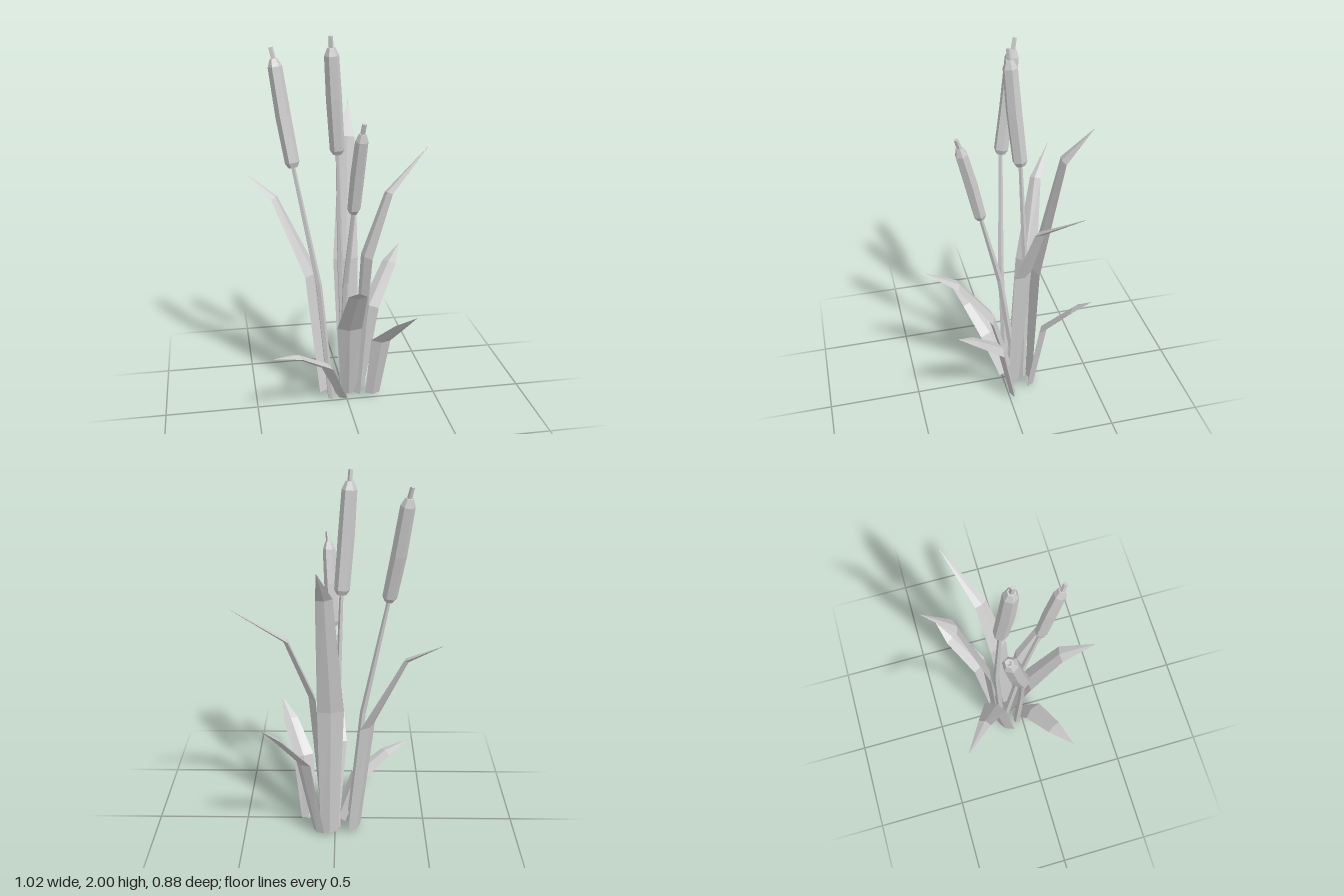
import * as THREE from 'three';

const material = new THREE.MeshStandardMaterial({ color: 0xcccccc, flatShading: true });
const vec = (p) => new THREE.Vector3(...p);

// Lofts elliptical rings along a path. rings: [x, y, z, halfWidth, halfDepth]
function loft(name, rings, sides, widthDir) {
  const points = rings.map(vec);
  const positions = [];
  const index = [];
  rings.forEach(([, , , rw, rd = rw], i) => {
    const before = points[Math.max(i - 1, 0)];
    const after = points[Math.min(i + 1, points.length - 1)];
    const t = after.clone().sub(before).normalize();
    const u = widthDir.clone().addScaledVector(t, -widthDir.dot(t)).normalize();
    const v = t.clone().cross(u);
    for (let j = 0; j < sides; j++) {
      const a = (j / sides) * Math.PI * 2;
      const p = points[i].clone().addScaledVector(u, Math.cos(a) * rw).addScaledVector(v, Math.sin(a) * rd);
      positions.push(p.x, Math.max(p.y, 0), p.z);
    }
  });
  for (let i = 0; i < rings.length - 1; i++) {
    for (let j = 0; j < sides; j++) {
      const k = (j + 1) % sides;
      const a = i * sides + j, b = i * sides + k;
      index.push(a, b, b + sides, a, b + sides, a + sides);
    }
  }
  // End caps
  const top = (rings.length - 1) * sides;
  for (let j = 1; j < sides - 1; j++) {
    index.push(0, j + 1, j, top, top + j, top + j + 1);
  }
  const indexed = new THREE.BufferGeometry();
  indexed.setAttribute('position', new THREE.Float32BufferAttribute(positions, 3));
  indexed.setIndex(index);
  const geometry = indexed.toNonIndexed();
  geometry.computeVertexNormals();
  const mesh = new THREE.Mesh(geometry, material);
  mesh.name = name;
  return mesh;
}

// Blade with a diamond section: base, middle, bend and pointed tip
function leaf({ side, path, widths }) {
  const depths = [0.016, 0.017, 0.012, 0.0005];
  const rings = path.map((p, i) => [...p, widths[i] ?? 0.0005, depths[i]]);
  return loft('leaf', rings, 4, new THREE.Vector3(side[0], 0, side[1]));
}

// Bent stem, faceted seed head and thin spike
function cattail({ stem, head, tip, radius }) {
  const group = new THREE.Group();
  group.name = 'cattail';
  const dir = new THREE.Vector3(1, 0, 0);
  const stemRadii = [0.02, 0.017, 0.013];
  group.add(loft('stem', [...stem, head[0]].map((p, i, all) =>
    [...p, i === all.length - 1 ? 0.011 : stemRadii[i]]), 5, dir));

  const first = vec(head[0]), last = vec(head[head.length - 1]);
  const axis = last.clone().sub(first).normalize();
  const inset = (p, d) => p.clone().addScaledVector(axis, d).toArray();
  group.add(loft('seedHead', [
    [...first.toArray(), radius * 0.6],
    [...inset(first, 0.025), radius * 0.95],
    ...head.slice(1, -1).map((p) => [...p, radius]),
    [...inset(last, -0.04), radius * 0.92],
    [...last.toArray(), radius * 0.5],
  ], 6, dir));
  group.add(loft('spike', [[...inset(last, -0.01), 0.013], [...tip, 0.012]], 5, dir));
  return group;
}

const leaves = [
  { side: [0.6, -0.75], widths: [0.052, 0.064, 0.032],
    path: [[-0.11, 0.015, -0.11], [-0.17, 0.7, -0.178], [-0.355, 1.12, -0.275], [-0.513, 1.245, -0.39]] },
  { side: [1, -0.08], widths: [0.05, 0.07, 0.042],
    path: [[0.03, 0.015, -0.15], [0.022, 0.78, -0.175], [0.05, 1.44, -0.3], [0.08, 1.615, -0.44]] },
  { side: [0.7, 0.65], widths: [0.042, 0.056, 0.045],
    path: [[0.09, 0.015, -0.145], [0.168, 0.48, -0.19], [0.3, 0.69, -0.31], [0.372, 0.78, -0.375]] },
  { side: [0.4, 0.9], widths: [0.04, 0.055, 0.036],
    path: [[0.06, 0.015, -0.05], [0.122, 0.82, -0.08], [0.25, 1.16, -0.13], [0.505, 1.38, -0.27]] },
  { side: [1, -0.06], widths: [0.042, 0.056, 0.04],
    path: [[0.148, 0.018, -0.02], [0.178, 0.38, 0.055], [0.255, 0.53, 0.205], [0.31, 0.62, 0.31]] },
  { side: [1, 0.1], widths: [0.045, 0.067, 0.048],
    path: [[0.02, 0.015, -0.055], [0.003, 0.47, 0.065], [0.015, 0.735, 0.25], [-0.015, 0.835, 0.437]] },
  { side: [0.55, 0.8], widths: [0.045, 0.06, 0.042],
    path: [[-0.03, 0.015, -0.02], [-0.125, 0.25, 0.055], [-0.285, 0.36, 0.135], [-0.42, 0.4, 0.21]] },
];

const cattails = [
  { radius: 0.041, tip: [-0.075, 2, -0.045],
    stem: [[0.01, 0.003, -0.115], [-0.015, 0.75, -0.13]],
    head: [[-0.033, 1.395, -0.1], [-0.055, 1.69, -0.07], [-0.071, 1.945, -0.05]] },
  { radius: 0.04, tip: [-0.36, 1.94, -0.15],
    stem: [[-0.085, 0.003, -0.035], [-0.15, 0.7, -0.025]],
    head: [[-0.27, 1.345, -0.055], [-0.31, 1.6, -0.1], [-0.348, 1.885, -0.138]] },
  { radius: 0.036, tip: [0.043, 1.62, 0.238],
    stem: [[-0.015, 0.003, -0.085], [-0.01, 0.72, 0.015]],
    head: [[0.012, 1.14, 0.118], [0.024, 1.36, 0.168], [0.037, 1.57, 0.222]] },
];

export function createModel() {
  const model = new THREE.Group();
  model.name = 'reedClump';
  leaves.forEach((spec) => model.add(leaf(spec)));
  cattails.forEach((spec) => model.add(cattail(spec)));
  return model;
}
